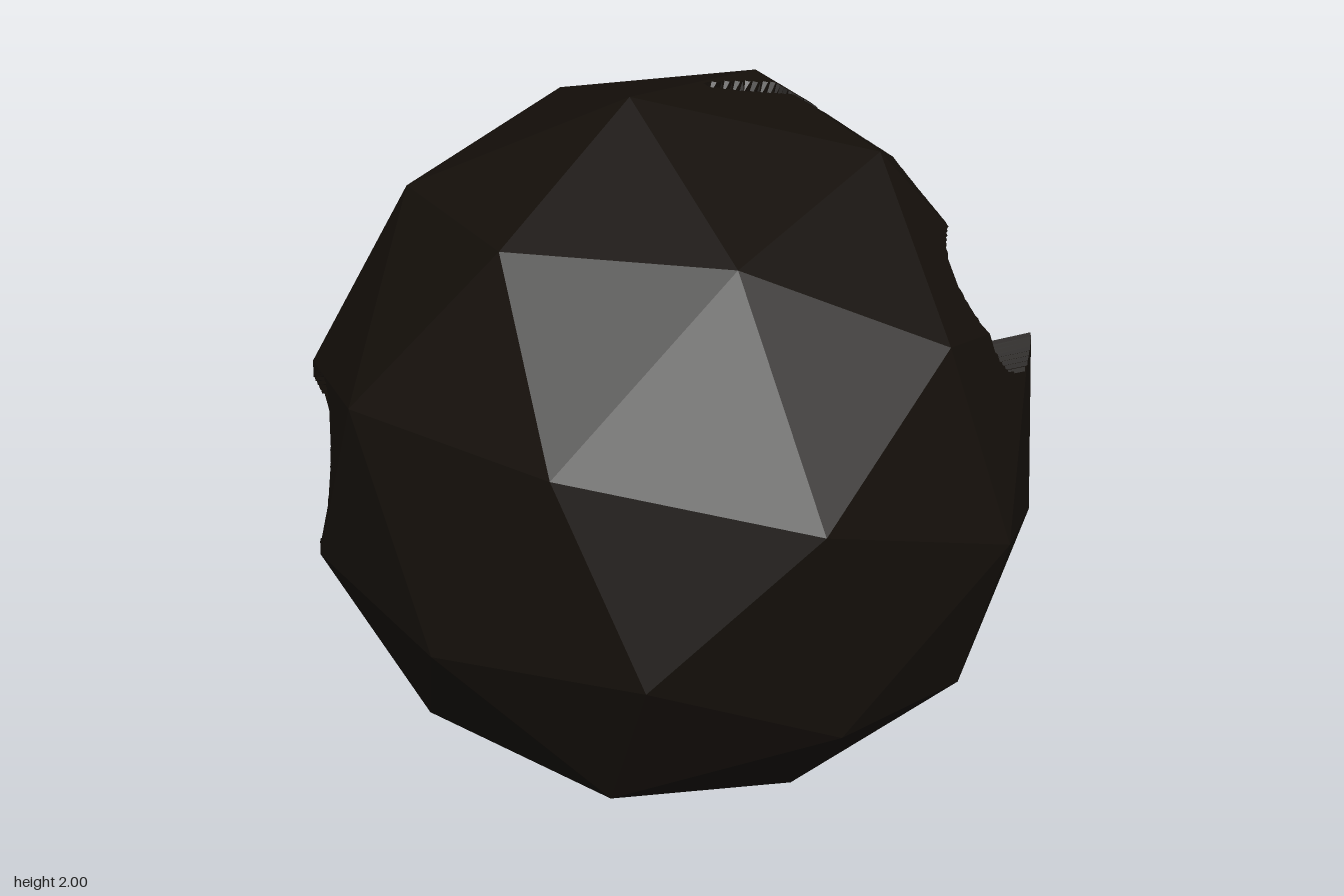
import * as THREE from 'three';

const V = (x, y, z) => new THREE.Vector3(x, y, z);
const CENTRE = V(0.025, 1, 0);

// Right-handed frame whose x runs along a and whose xy plane holds b
function frame(a, b) {
  const x = a.clone().normalize();
  const z = x.clone().cross(b).normalize();
  return new THREE.Matrix4().makeBasis(x, z.clone().cross(x), z);
}

// Faceted ball, turned so its poles lean off the axes
function facetedBall(radius) {
  const t = (1 + Math.sqrt(5)) / 2;
  const from = frame(V(-1, t, 0), V(1, t, 0));
  const to = frame(V(-0.986, -0.139, -0.089), V(-0.587, 0.768, 0.26));
  return new THREE.IcosahedronGeometry(radius, 1).applyMatrix4(to.multiply(from.transpose()));
}

// Hollows bitten out of the crust: centre, radii and digging direction
const INWARD = V(-1, 0, 0);
const SIDE = V(0.85, 0.15, 0.45).normalize();
const scoops = [
  [V(0.76, 0.37, -0.04), V(0.54, 0.54, 0.54), INWARD],                    // main crater
  [V(0.58, 0.45, 0.45), V(0.22, 0.22, 0.22), INWARD],                     // front lobe
  [V(0.95, 0.05, 0), V(0.35, 0.35, 0.35), INWARD],                        // lower lip
  [V(0.81, 0.1, -0.52), V(0.13, 0.13, 0.13), INWARD],                     // rear nick
  [V(0.37, 0.9, -0.08), V(0.25, 0.25, 0.035), V(-0.4, -0.9, 0).normalize()], // crack towards the top
  [V(-0.85, 0.02, -0.27), V(0.24, 0.24, 0.24), SIDE],                     // side hole, upper lobe
  [V(-0.7, -0.2, -0.48), V(0.25, 0.25, 0.25), SIDE],                      // side hole, lower lobe
  [V(0.05, 0.45, -0.87), V(0.09, 0.05, 0.04), V(0, 0, 1)],                // small chip at the back
];

// Distances at which the line p + s * u enters and leaves an ellipsoid
function crossings(p, u, c, r) {
  const o = p.clone().sub(c).divide(r), d = u.clone().divide(r);
  const a = d.dot(d), b = o.dot(d), disc = b * b - a * (o.dot(o) - 1);
  if (disc <= 0) return null;
  return [(-b - Math.sqrt(disc)) / a, (-b + Math.sqrt(disc)) / a];
}

// Push a surface point to the far wall of each hollow it lies in, stopping inside the core
const ORIGIN = V(0, 0, 0), FLOOR = V(0.6, 0.6, 0.6);
function carve(p) {
  const q = p.clone();
  for (const [c, r, u] of scoops) {
    const hit = crossings(q, u, c, r);
    if (!hit || hit[0] >= 0 || hit[1] <= 0) continue;
    const floor = crossings(q, u, ORIGIN, FLOOR);
    const depth = floor ? Math.min(hit[1], Math.max(floor[0], 0)) : hit[1];
    q.addScaledVector(u, depth);
  }
  return { point: q, cut: !q.equals(p) };
}

// Split each facet touched by a hollow into a fine grid; leave the rest whole
function carvedCrust(radius, n) {
  const src = facetedBall(radius).getAttribute('position');
  const out = [];
  const push = (...pts) => pts.forEach((p) => out.push(p.x, p.y, p.z));
  for (let f = 0; f < src.count; f += 3) {
    const [a, b, c] = [0, 1, 2].map((i) => new THREE.Vector3().fromBufferAttribute(src, f + i));
    const ab = b.clone().sub(a), ac = c.clone().sub(a);
    const grid = [];
    let touched = false;
    for (let i = 0; i <= n; i++) {
      grid.push([]);
      for (let j = 0; j <= n - i; j++) {
        const q = carve(a.clone().addScaledVector(ab, i / n).addScaledVector(ac, j / n));
        touched = touched || q.cut;
        grid[i].push(q.point);
      }
    }
    if (!touched) {
      push(a, b, c);
      continue;
    }
    for (let i = 0; i < n; i++) {
      for (let j = 0; j < n - i; j++) {
        push(grid[i][j], grid[i + 1][j], grid[i][j + 1]);
        if (j < n - i - 1) push(grid[i + 1][j], grid[i + 1][j + 1], grid[i][j + 1]);
      }
    }
  }
  const g = new THREE.BufferGeometry();
  g.setAttribute('position', new THREE.Float32BufferAttribute(out, 3));
  g.computeVertexNormals();
  return g;
}

export function createModel() {
  const group = new THREE.Group();
  const add = (name, geometry, color, offset) => {
    const mesh = new THREE.Mesh(geometry, new THREE.MeshStandardMaterial({ color, flatShading: true }));
    mesh.name = name;
    mesh.position.copy(CENTRE).add(offset);
    group.add(mesh);
  };
  add('crust', carvedCrust(1.01, 46), 0x140f0a, V(0, 0, 0));       // dark cratered shell
  add('core', facetedBall(0.8), 0x2c0405, V(-0.08, 0.04, -0.03)); // red ball inside
  return group;
}
